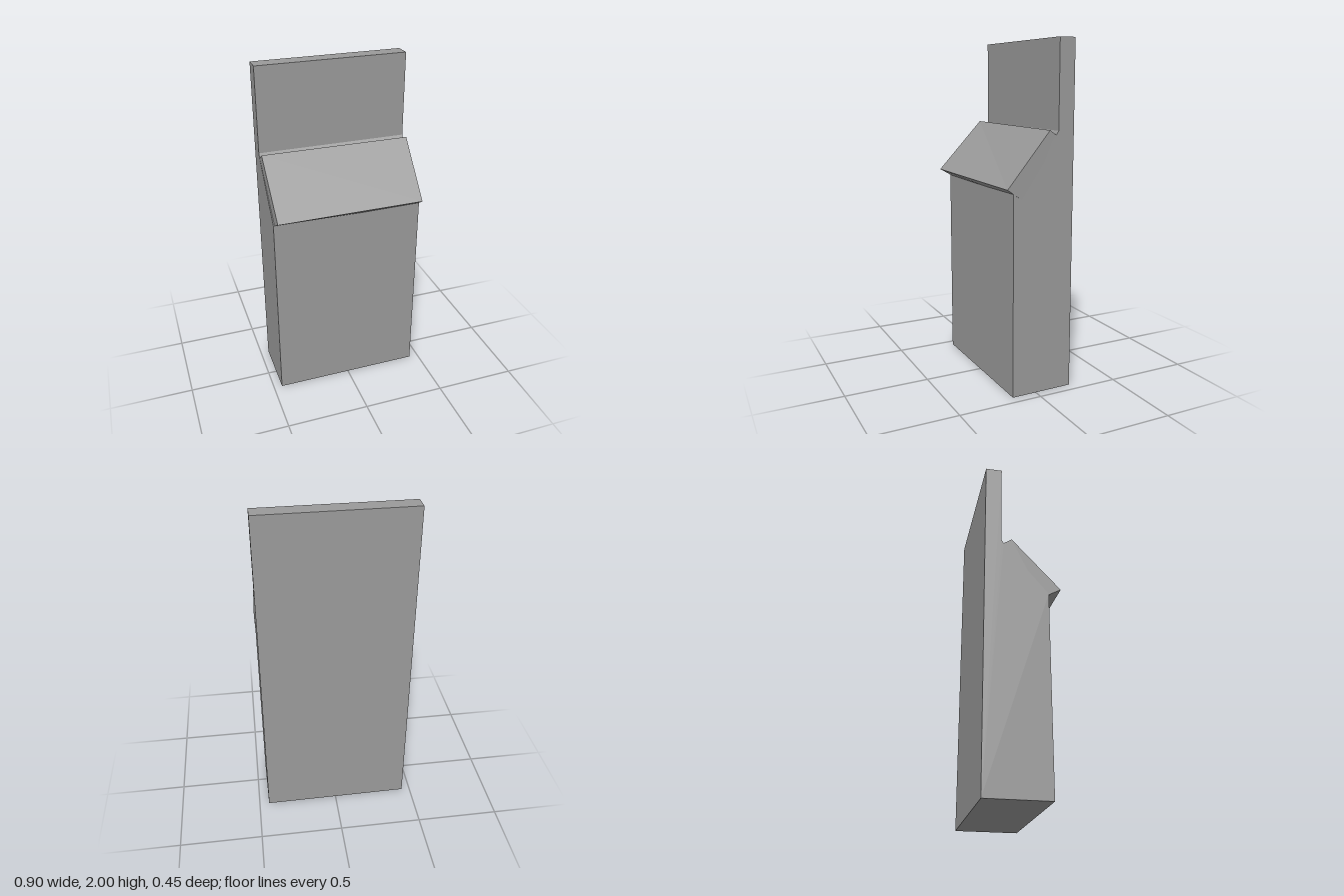
import * as THREE from 'three';

// Solid between a right-hand (-x) and a left-hand (+x) cross-section.
// Points are [x, y, z], listed counter-clockwise as seen from -x.
function loft(name, near, far) {
  const pos = [];
  const tri = (a, b, c) => pos.push(...a, ...b, ...c);
  near.forEach((p, i) => {
    const j = (i + 1) % near.length;
    tri(p, far[i], near[j]);
    tri(far[i], far[j], near[j]);
  });
  const outline = near.map(([, y, z]) => new THREE.Vector2(z, y));
  for (const [a, b, c] of THREE.ShapeUtils.triangulateShape(outline, [])) {
    tri(near[a], near[b], near[c]);
    tri(far[c], far[b], far[a]);
  }
  const geometry = new THREE.BufferGeometry();
  geometry.setAttribute('position', new THREE.Float32BufferAttribute(pos, 3));
  geometry.computeVertexNormals();
  const mesh = new THREE.Mesh(
    geometry,
    new THREE.MeshStandardMaterial({ color: 0x9a9a9a, flatShading: true })
  );
  mesh.name = name;
  return mesh;
}

export function createModel() {
  const group = new THREE.Group();
  group.name = 'cabinet';

  // Cabinet: deep base, sloping shoulder and thin upright back.
  // Each entry is [y, z at the right end, z at the left end].
  const profile = [
    [0, -0.219, -0.226], [0, 0.15, 0.149], [1.17, 0.15, 0.149], [1.475, -0.11, -0.112],
    [1.5, -0.123, -0.129], [2, -0.123, -0.129], [2, -0.219, -0.226],
  ];
  group.add(loft(
    'cabinetBody',
    profile.map(([y, z]) => [-0.449, y, z]),
    profile.map(([y, , z]) => [0.442 + z * 0.01, y, z])
  ));

  // Sloping panel: a slab sunk into the shoulder, overhanging the front unevenly
  group.add(loft(
    'slopingPanel',
    [[-0.444, 1.145, 0.11], [-0.44, 1.21, 0.223], [-0.447, 1.51, -0.063], [-0.449, 1.465, -0.125]],
    [[0.444, 1.135, 0.1], [0.447, 1.195, 0.187], [0.442, 1.505, -0.074], [0.44, 1.465, -0.132]]
  ));

  return group;
}
